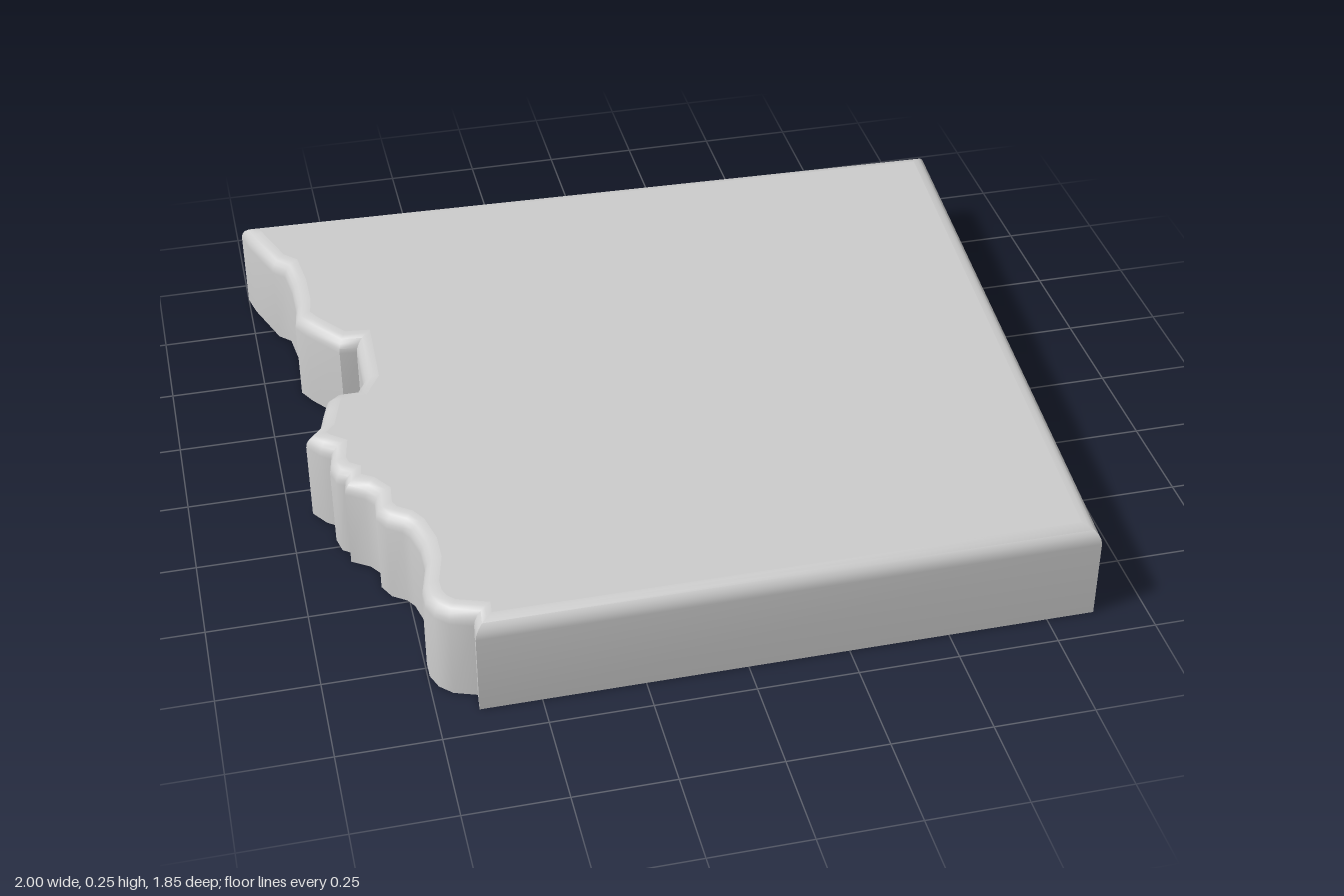
import * as THREE from 'three';
import { toCreasedNormals } from 'three/addons/utils/BufferGeometryUtils.js';

const HEIGHT = 0.255;
const BEVEL = 0.042;
const STEPS = 5;

// Plan outline as [x, z]: three straight sides, then the ragged edge from front to back
const OUTLINE = [
  [-1, -0.925], [1, -0.865], [0.87, 0.92], [-0.65, 0.92],
  [-0.645, 0.87], [-0.7, 0.85], [-0.73, 0.82], [-0.745, 0.78], [-0.745, 0.735],
  [-0.725, 0.65], [-0.725, 0.585], [-0.74, 0.52], [-0.755, 0.495], [-0.79, 0.47],
  [-0.81, 0.43], [-0.805, 0.375], [-0.825, 0.345], [-0.87, 0.315], [-0.865, 0.28],
  [-0.885, 0.265], [-0.895, 0.22], [-0.885, 0.165], [-0.91, 0.145], [-0.94, 0.1],
  [-0.9, 0.055], [-0.885, 0], [-0.87, -0.05], [-0.84, -0.075], [-0.79, -0.075],
  [-0.765, -0.12], [-0.76, -0.285], [-0.805, -0.29], [-0.88, -0.39], [-0.905, -0.435],
  [-0.895, -0.505], [-0.895, -0.6], [-0.905, -0.69], [-0.935, -0.72], [-0.985, -0.86],
].map(([x, z]) => new THREE.Vector2(x, z));

// Outline moved inwards by d, with mitred corners
function inset(d) {
  const n = OUTLINE.length;
  const inward = (a, b) => new THREE.Vector2(a.y - b.y, b.x - a.x).normalize();
  return OUTLINE.map((p, i) => {
    const n1 = inward(OUTLINE[(i + n - 1) % n], p);
    const n2 = inward(p, OUTLINE[(i + 1) % n]);
    const mid = n1.clone().add(n2).normalize();
    const miter = Math.min(1.6, 1 / Math.max(0.1, mid.dot(n1)));
    return p.clone().addScaledVector(mid, d * miter);
  });
}

// Walls and rounded top edge, as stacked rings
function rimGeometry() {
  const rings = [{ points: inset(0), y: 0 }];
  for (let s = 0; s <= STEPS; s++) {
    const a = (s / STEPS) * Math.PI / 2;
    rings.push({
      points: inset(BEVEL * (1 - Math.cos(a))),
      y: HEIGHT - BEVEL + BEVEL * Math.sin(a),
    });
  }
  const n = OUTLINE.length;
  const positions = [];
  const index = [];
  rings.forEach(({ points, y }, r) => points.forEach((p, i) => {
    positions.push(p.x, y, p.y);
    if (r === 0) return;
    const j = (i + 1) % n;
    const a = (r - 1) * n + i, b = (r - 1) * n + j;
    const c = r * n + i, d = r * n + j;
    index.push(a, c, b, b, c, d);
  }));
  const geometry = new THREE.BufferGeometry();
  geometry.setAttribute('position', new THREE.Float32BufferAttribute(positions, 3));
  geometry.setIndex(index);
  return toCreasedNormals(geometry, Math.PI / 4);
}

// Flat top inside the rounded edge
function topGeometry() {
  const shape = new THREE.Shape(inset(BEVEL).map((p) => new THREE.Vector2(p.x, -p.y)));
  return new THREE.ShapeGeometry(shape).rotateX(-Math.PI / 2).translate(0, HEIGHT, 0);
}

export function createModel() {
  const group = new THREE.Group();
  group.name = 'slab';
  // Thin shell, open underneath
  const material = new THREE.MeshStandardMaterial({ color: 0xcccccc, side: THREE.DoubleSide });
  const add = (name, geometry) => {
    const mesh = new THREE.Mesh(geometry, material);
    mesh.name = name;
    group.add(mesh);
  };
  add('rim', rimGeometry());
  add('topSurface', topGeometry());
  return group;
}
